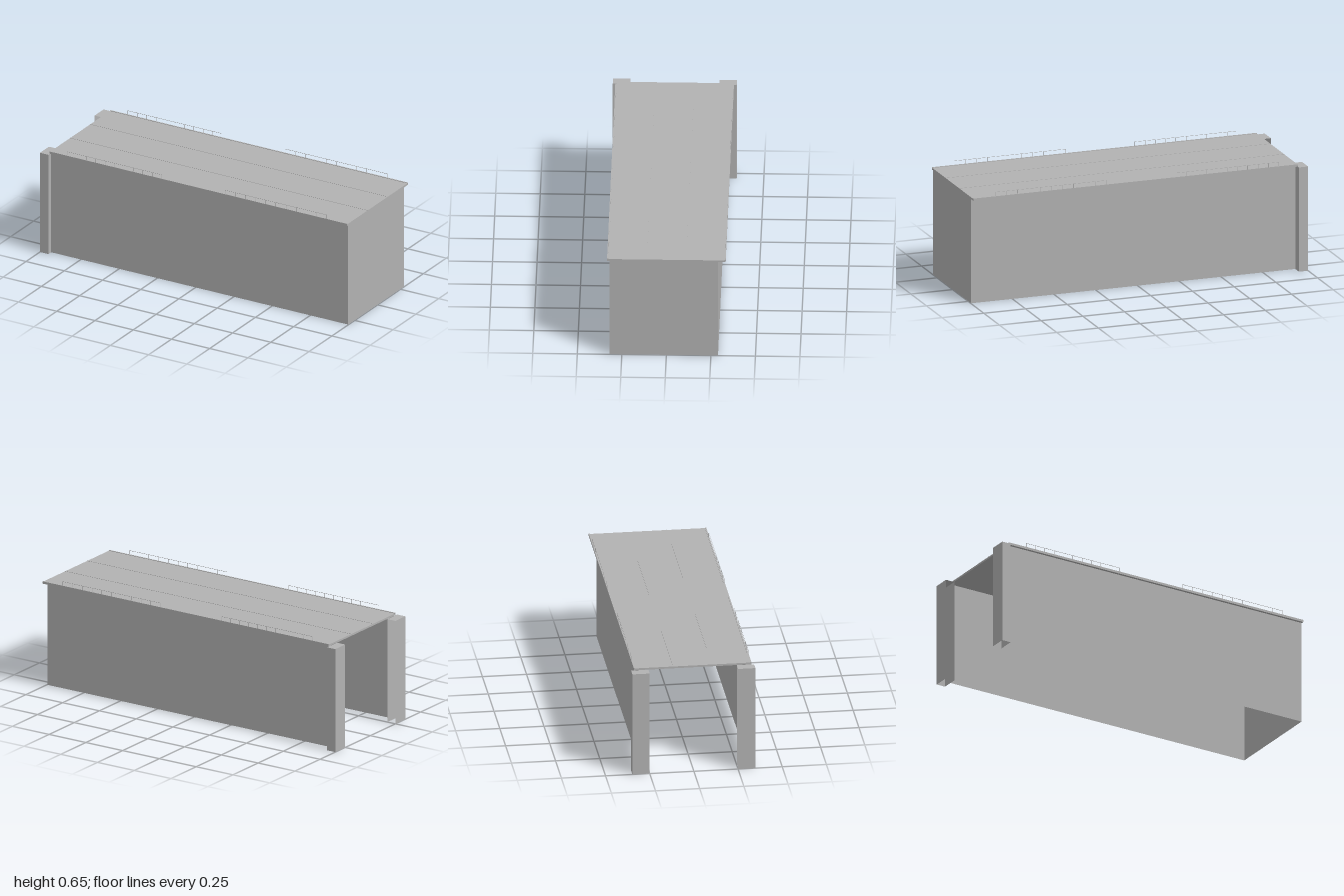
import * as THREE from 'three';

const grey = new THREE.MeshStandardMaterial({ color: 0xb2b2b2, side: THREE.DoubleSide });
grey.name = 'plain grey';

// box given by its limits; faces listed in skip (0..5 = +x -x +y -y +z -z) are left open
function box(name, [x0, x1], [y0, y1], [z0, z1], skip = []) {
  const geo = new THREE.BoxGeometry(x1 - x0, y1 - y0, z1 - z0);
  geo.translate((x0 + x1) / 2, (y0 + y1) / 2, (z0 + z1) / 2);
  const index = Array.from(geo.index.array);
  geo.setIndex(index.filter((v, i) => !skip.includes(Math.floor(i / 6))));
  geo.clearGroups();
  const mesh = new THREE.Mesh(geo, grey);
  mesh.name = name;
  return mesh;
}

// thin handrail with evenly spaced posts
function railing(x0, x1, z) {
  const g = new THREE.Group();
  g.name = 'railing';
  const t = 0.0008, bays = 10, top = 0.649;
  for (let i = 0; i <= bays; i++) {
    const x = x0 + (x1 - x0) * i / bays;
    g.add(box('railPost', [x - t, x + t], [0.622, top], [z - t, z + t]));
  }
  g.add(box('handrail', [x0, x1], [top - 2 * t, top], [z - t, z + t]));
  return g;
}

export function createModel() {
  const model = new THREE.Group();
  model.name = 'openShed';

  // two long walls and one end wall, open below and at the -x end
  model.add(box('walls', [-0.945, 0.998], [0, 0.611], [-0.29, 0.318], [1, 2, 3]));

  // roof slab with overhang
  model.add(box('roof', [-0.945, 1], [0.611, 0.622], [-0.332, 0.332]));

  // fine seams along the roof
  for (const z of [-0.11, 0.11])
    model.add(box('roofSeam', [-0.945, 1], [0.622, 0.6235], [z - 0.001, z + 0.001]));

  for (const s of [-1, 1]) {
    const span = (a, b) => (s > 0 ? [a, b] : [-b, -a]);
    // raised roof edge
    model.add(box('roofEdge', [-0.945, 1], [0.611, 0.6245], span(0.325, 0.333)));
    // hollow entrance pillars, open on the inner side and below
    model.add(box('entrancePillar', [-1, -0.945], [0, 0.61], span(0.25, 0.348), [3, s > 0 ? 5 : 4]));
    // railings on both long edges
    model.add(railing(-0.83, -0.215, s * 0.33));
    model.add(railing(0.2, 0.865, s * 0.33));
  }
  return model;
}
